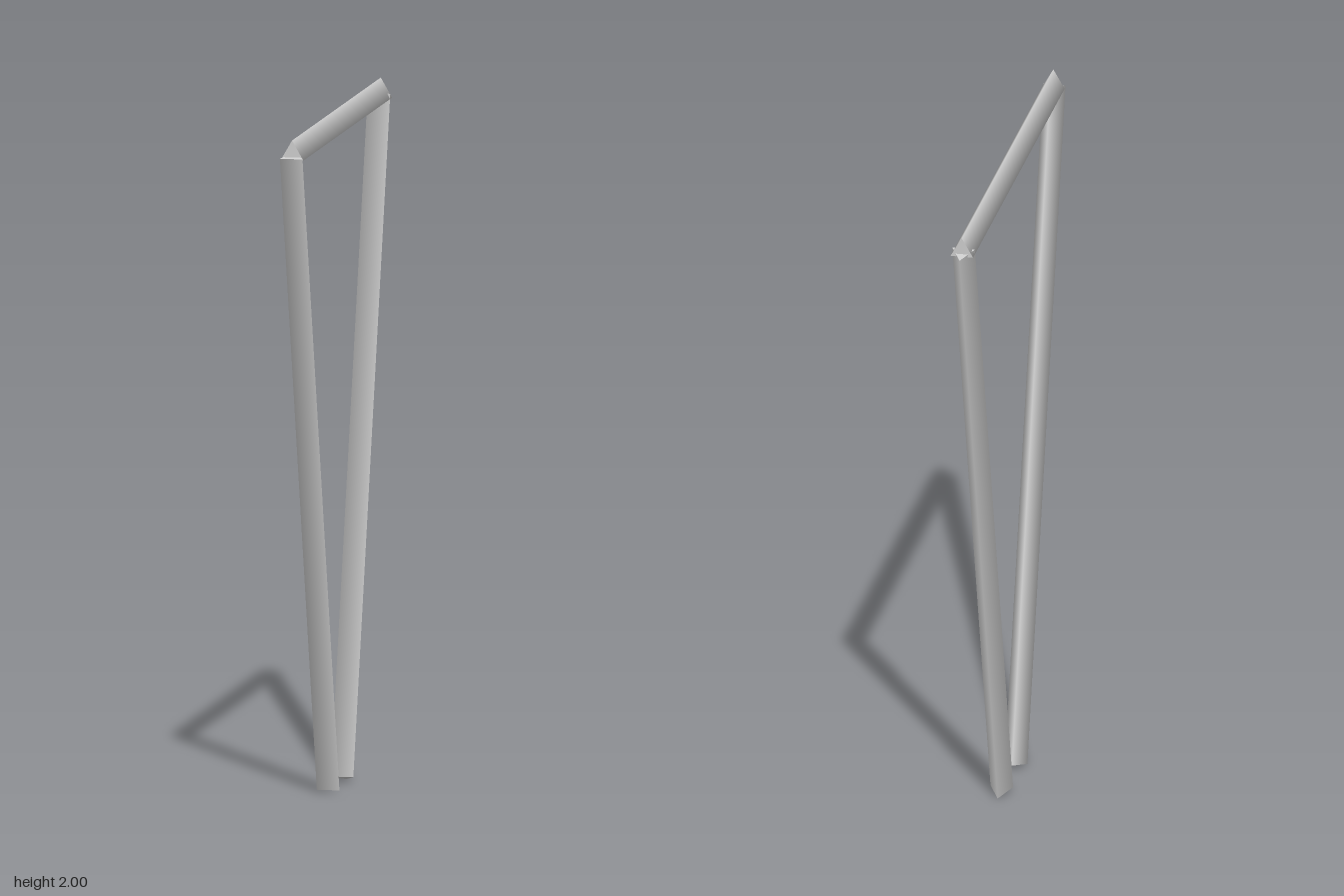
import * as THREE from 'three';

const RADIUS = 0.039;
const SHIFT_Z = 0.009; // the three-sided section sits off its axis

export function createModel() {
  const group = new THREE.Group();
  const material = new THREE.MeshStandardMaterial({ color: 0xcccccc });

  // Three-sided rod along y with its ridge facing -z
  function addRod(name, length, y, z, tilt) {
    const geometry = new THREE.CylinderGeometry(RADIUS, RADIUS, length, 3);
    geometry.rotateY(Math.PI);
    const rod = new THREE.Mesh(geometry, material);
    rod.name = name;
    rod.position.set(0, y, z + SHIFT_Z);
    rod.rotation.x = tilt;
    group.add(rod);
  }

  // Level bar across the top, ridge up
  addRod('topBar', 1.25, 2 - RADIUS, 0, Math.PI / 2);

  // Two legs leaning together, leaving a gap at the bottom
  const lean = THREE.MathUtils.degToRad(15);
  addRod('frontLeg', 2.01, 0.981, 0.358, lean);
  addRod('backLeg', 2.01, 0.981, -0.358, -lean);

  return group;
}
